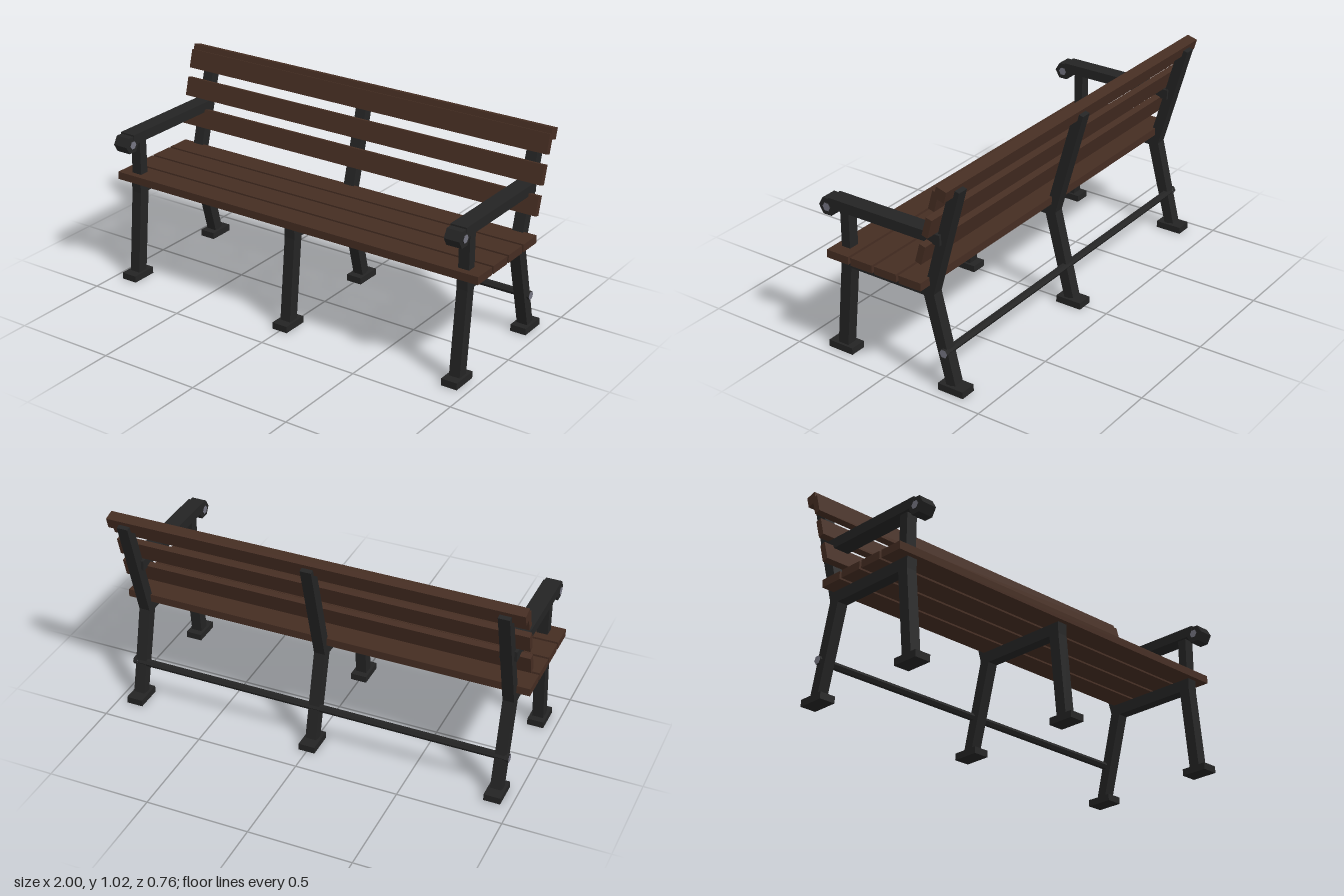
import * as THREE from 'three';

const mat = (name, color) => Object.assign(new THREE.MeshStandardMaterial({ color }), { name });

export function createModel() {
  const wood = mat('dark brown wood', 0x452d22);
  const iron = mat('black iron', 0x242424);
  const steel = mat('grey steel', 0x757582);

  const bench = new THREE.Group();
  bench.name = 'bench';

  const add = (parent, name, geometry, material, x = 0, y = 0, z = 0) => {
    const mesh = new THREE.Mesh(geometry, material);
    mesh.name = name;
    mesh.position.set(x, y, z);
    parent.add(mesh);
    return mesh;
  };
  const box = (parent, name, size, material, x, y, z) =>
    add(parent, name, new THREE.BoxGeometry(...size), material, x, y, z);

  // Six-sided bar lying along x, corners pointing to front and back
  const hexBar = (parent, name, radius, length, materials, x, y, z) => {
    const g = new THREE.CylinderGeometry(radius, radius, length, 6).toNonIndexed();
    g.rotateZ(Math.PI / 2);
    g.computeVertexNormals();
    return add(parent, name, g, materials, x, y, z);
  };

  // Frame outline as [z, y]: front leg, seat rail, back post and rear leg
  const outline = [
    [0.32, 0.03], [0.28, 0.44], [0.28, 0.497], [-0.185, 0.497], [-0.321, 0.989], [-0.37, 0.976],
    [-0.228, 0.457], [-0.333, 0.04], [-0.285, 0.028], [-0.175, 0.44], [0.224, 0.44], [0.265, 0.03],
  ];
  const frameWidth = 0.054;
  const frameShape = new THREE.Shape(outline.map(([z, y]) => new THREE.Vector2(z, y)));
  const frameGeometry = new THREE.ExtrudeGeometry(frameShape, { depth: frameWidth, bevelEnabled: false });
  frameGeometry.translate(0, 0, -frameWidth / 2);
  frameGeometry.rotateY(-Math.PI / 2);

  for (const x of [-0.91, 0, 0.91]) {
    const frame = new THREE.Group();
    frame.name = 'sideFrame';
    frame.position.x = x;
    bench.add(frame);
    add(frame, 'legsAndPost', frameGeometry, iron);
    box(frame, 'frontFoot', [0.08, 0.033, 0.133], iron, 0, 0.0165, 0.298);
    box(frame, 'rearFoot', [0.08, 0.033, 0.133], iron, 0, 0.0165, -0.314);

    // Armrests on the two outer frames only
    if (x !== 0) {
      box(frame, 'armSupport', [frameWidth, 0.225, 0.046], iron, 0, 0.605, 0.249);
      box(frame, 'armrest', [0.08, 0.049, 0.6], iron, 0, 0.734, 0.026);
      hexBar(frame, 'armKnob', 0.045, 0.076, iron, 0, 0.712, 0.336);
      hexBar(frame, 'armBolt', 0.021, 0.086, [iron, steel, steel], 0, 0.712, 0.336);
    }
  }

  // Rear stretcher with a bolt at each end
  hexBar(bench, 'stretcher', 0.018, 1.87, iron, 0, 0.191, -0.281);
  for (const side of [-1, 1]) {
    hexBar(bench, 'stretcherBolt', 0.021, 0.02, [iron, steel, steel], side * 0.94, 0.191, -0.281);
  }

  // Seat slats
  for (let i = 0; i < 4; i++) {
    box(bench, 'seatSlat', [2, 0.038, 0.118], wood, 0, 0.516, 0.245 - i * 0.1313);
  }

  // Back slats and top rail, leaning with the posts
  const lean = -0.27;
  for (let i = 0; i < 3; i++) {
    box(bench, 'backSlat', [2, 0.092, 0.031], wood, 0, 0.675 + i * 0.1345, -0.211 - i * 0.0375)
      .rotation.x = lean;
  }
  box(bench, 'topRail', [2, 0.054, 0.053], wood, 0, 0.982, -0.321).rotation.x = lean;

  return bench;
}
